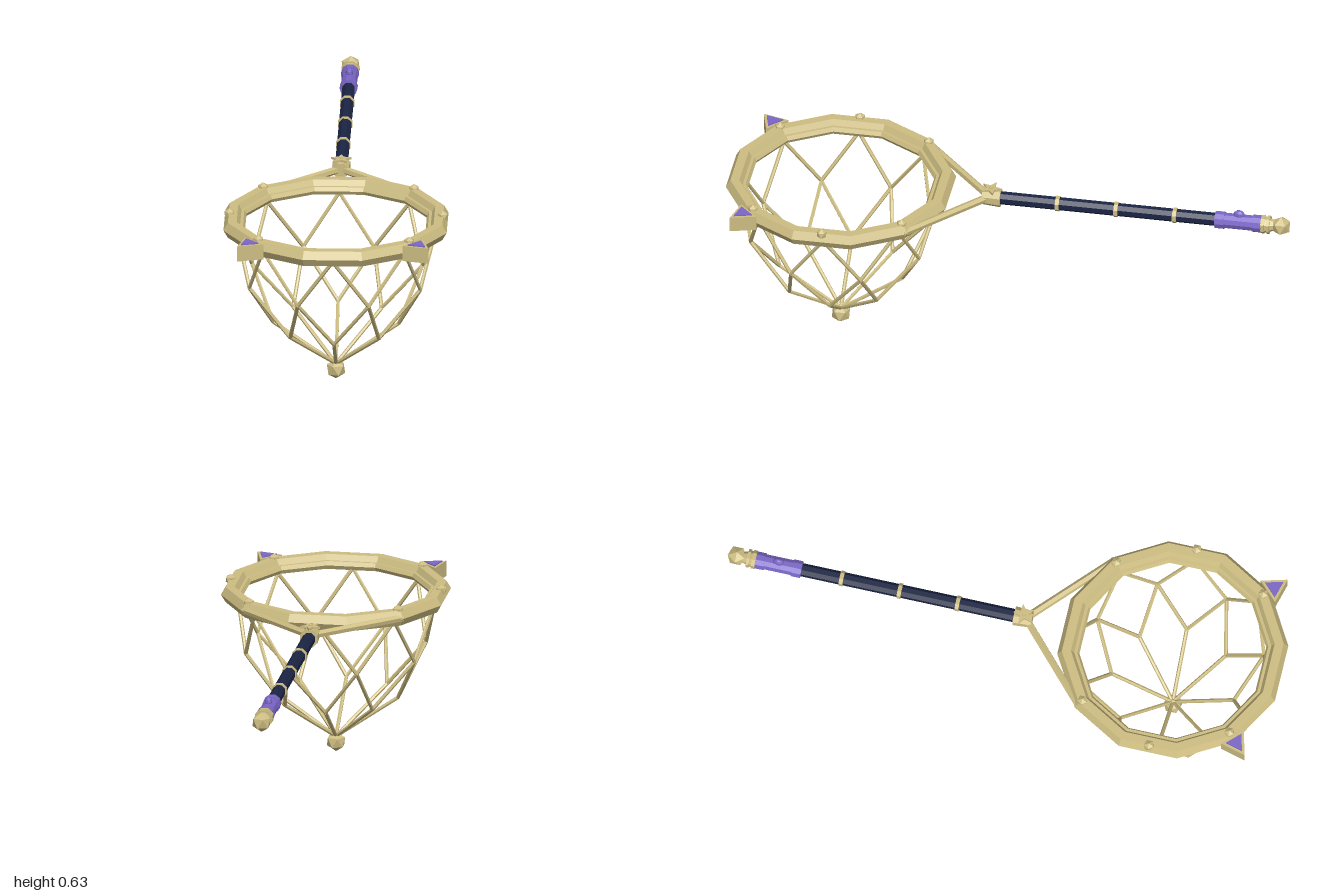
import * as THREE from 'three';

export function createModel() {
  const root = new THREE.Group();
  root.name = 'handNet';
  const mat = (name, color) => {
    const m = new THREE.MeshStandardMaterial({ color });
    m.name = name;
    return m;
  };
  const gold = mat('paleGold', 0xcdbd82);
  const navy = mat('navy', 0x1b2444);
  const purple = mat('purple', 0x7a66c6);

  const Y = 0.587;  // height of hoop and handle
  const CZ = 0.606; // hoop centre
  const UP = new THREE.Vector3(0, 1, 0);
  const V = (x, y, z) => new THREE.Vector3(x, y, z);

  // Adds a faceted mesh
  const add = (name, geo, material, pos = V(0, 0, 0)) => {
    const g = geo.index ? geo.toNonIndexed() : geo;
    g.computeVertexNormals();
    const m = new THREE.Mesh(g, material);
    m.name = name;
    m.position.copy(pos);
    root.add(m);
    return m;
  };
  // Straight bar between two points
  const bar = (name, a, b, r, sides) => {
    const d = b.clone().sub(a);
    const m = add(name, new THREE.CylinderGeometry(r, r, d.length(), sides), gold,
      a.clone().add(b).multiplyScalar(0.5));
    m.quaternion.setFromUnitVectors(UP, d.normalize());
  };
  // Twenty-sided bead with a corner pointing up
  const bead = (name, r, pos) =>
    add(name, new THREE.IcosahedronGeometry(r, 0).rotateZ(Math.atan(2 / (1 + Math.sqrt(5)))), gold, pos);
  // Point on a circle around the hoop axis
  const polar = (r, deg, y) => {
    const a = THREE.MathUtils.degToRad(deg);
    return V(r * Math.sin(a), y, CZ + r * Math.cos(a));
  };
  // Cylinder along the handle, from z0 (front) to z1 (back)
  const rod = (name, z0, z1, rFront, rBack, material, sides = 8) =>
    add(name, new THREE.CylinderGeometry(rFront, rBack, z0 - z1, sides)
      .rotateY(Math.PI / sides).rotateX(Math.PI / 2), material, V(0, Y, (z0 + z1) / 2));

  // Hoop and its inner lip
  const hoop = (name, R, r, y) =>
    add(name, new THREE.TorusGeometry(R, r, 6, 12).rotateX(Math.PI / 2).rotateY(Math.PI / 12), gold, V(0, y, CZ));
  hoop('hoop', 0.374, 0.032, Y);
  hoop('hoopLip', 0.344, 0.016, Y - 0.006);

  // Studs on the hoop
  for (const deg of [45, 90, 135, 225, 270, 315]) bead('hoopStud', 0.02, polar(0.375, deg, 0.612));

  // Triangular brackets with inlaid plates
  for (const deg of [45, -45]) {
    const turn = THREE.MathUtils.degToRad(deg);
    add('bracket', new THREE.CylinderGeometry(0.055, 0.055, 0.056, 3).rotateY(turn), gold, polar(0.421, deg, Y - 0.001));
    add('bracketInlay', new THREE.CylinderGeometry(0.037, 0.037, 0.004, 3).rotateY(turn), purple, polar(0.421, deg, 0.616));
  }

  // Diamond lattice basket
  const tip = V(0, 0.055, CZ);
  for (let i = 0; i < 8; i++) {
    const a = i * 45;
    const low = polar(0.22, a, 0.208);
    for (const s of [-22.5, 22.5]) {
      const mid = polar(0.325, a + s, 0.381);
      bar('basketUpperStrut', polar(0.352, a, 0.566), mid, 0.0068, 6);
      bar('basketMiddleStrut', mid, low, 0.0068, 6);
    }
    bar('basketLowerStrut', low, tip, 0.0068, 6);
  }
  bead('basketBead', 0.036, V(0, 0.036, CZ));

  // Yoke from hoop to handle
  for (const s of [-1, 1]) bar('yokeArm', V(s * 0.282, Y, 0.335), V(s * 0.01, Y, 0.085), 0.014, 6);
  rod('collar', 0.1, 0.035, 0.029, 0.034, gold);

  // Star on the collar
  const star = new THREE.Shape();
  for (let i = 0; i < 10; i++) {
    const r = i % 2 ? 0.017 : 0.038, a = Math.PI / 2 + i * Math.PI / 5;
    star[i ? 'lineTo' : 'moveTo'](r * Math.cos(a), r * Math.sin(a));
  }
  star.closePath();
  add('collarStar', new THREE.ExtrudeGeometry(star, { depth: 0.008, bevelEnabled: false }).rotateX(-Math.PI / 2),
    gold, V(0, 0.617, 0.07));
  add('starBoss', new THREE.CylinderGeometry(0.008, 0.01, 0.02, 6), gold, V(0, 0.619, 0.07));

  // Shaft with bands
  rod('shaft', 0.04, -0.74, 0.0235, 0.0235, navy);
  for (const z of [-0.168, -0.377, -0.586]) rod('shaftBand', z + 0.007, z - 0.007, 0.0275, 0.0275, gold);

  // Grip with raised ends and a gem
  rod('grip', -0.73, -0.897, 0.028, 0.028, purple, 10);
  for (const z of [-0.748, -0.88]) rod('gripEnd', z + 0.016, z - 0.016, 0.0315, 0.0315, purple, 10);
  add('gripGem', new THREE.SphereGeometry(1, 8, 6).scale(0.013, 0.018, 0.021), purple, V(0, 0.616, -0.815));

  // Pommel
  rod('pommelRing', -0.895, -0.908, 0.033, 0.033, gold);
  rod('pommelNeck', -0.908, -0.94, 0.03, 0.02, gold);
  rod('pommelRing', -0.916, -0.926, 0.033, 0.033, gold);
  bead('pommelBead', 0.036, V(0, Y, -0.965));

  return root;
}
